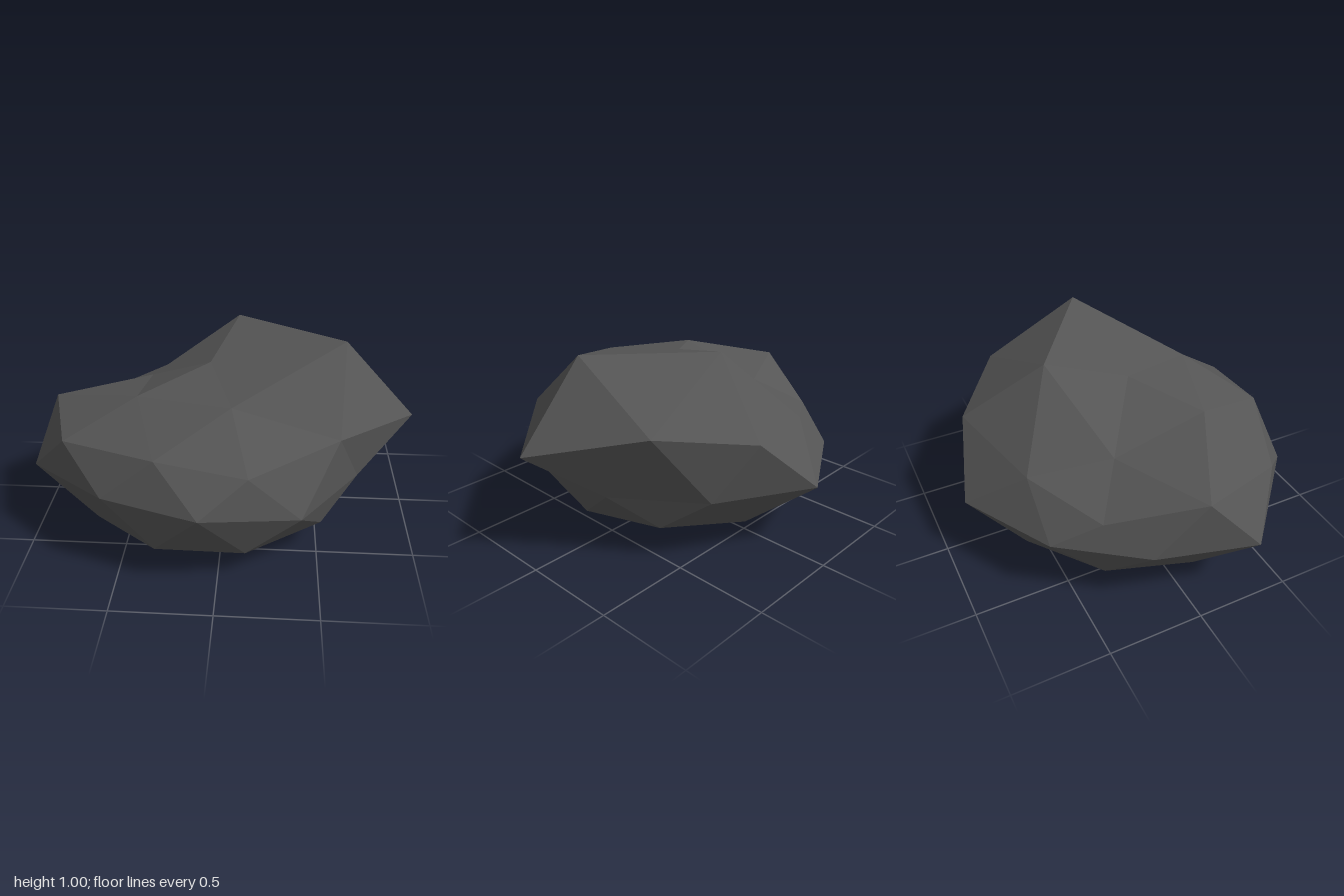
import * as THREE from 'three';

// Ring of points around the boulder's axis; bumps replace single points of the regular ring
function ring(count, startDeg, radius, y, bumps = {}) {
  const points = [];
  for (let i = 0; i < count; i++) {
    const a = THREE.MathUtils.degToRad(startDeg + (360 / count) * i);
    points.push(bumps[i] ?? [-0.08 + radius * Math.cos(a), y, 0.055 + radius * Math.sin(a)]);
  }
  return points;
}

function boulderGeometry() {
  // Levels of a once-subdivided icosahedron, top to bottom
  const peak = [-0.08, 0.866, 0.055];
  const crown = ring(5, 0, 0.431, 0.785, {
    0: [0.62, 1.0, 0.055],       // summit
    1: [0.053, 0.815, 0.465],
    3: [-0.43, 0.663, -0.198],   // hollow
    4: [0.053, 0.975, -0.355],
  });
  const shoulder = ring(5, 0, 0.733, 0.6, {
    0: [0.995, 0.59, 0.055],     // side spur
    2: [-0.78, 0.62, 0.495],
    3: [-0.673, 0.5, -0.376],
    4: [0.24, 0.66, -0.76],
  });
  const shoulderMid = ring(5, 36, 0.698, 0.66, {
    0: [0.585, 0.655, 0.465],
    2: [-0.915, 0.648, 0.055],
    3: [-0.296, 0.59, -0.609],
    4: [0.65, 0.728, -0.46],
  });
  const waist = ring(10, 18, 0.82, 0.36, {
    2: [-0.08, 0.442, 0.877],
    3: [-0.562, 0.442, 0.718],
    4: [-1.0, 0.36, 0.31],
    7: [-0.08, 0.36, -0.882],
  });
  const lower = ring(5, 36, 0.733, 0.18);
  const lowerMid = ring(5, 0, 0.698, 0.148);
  const base = ring(5, 36, 0.431, 0);
  const bottom = [-0.08, 0, 0.055];

  const positions = [];
  const tri = (a, b, c) => positions.push(...a, ...c, ...b);

  for (let i = 0; i < 5; i++) {
    const n = (i + 1) % 5, p = (i + 4) % 5;
    const w0 = waist[(2 * i + 9) % 10], w1 = waist[2 * i], w2 = waist[2 * i + 1];
    const m = shoulderMid[i], k = lowerMid[i];
    // cap
    tri(peak, crown[i], crown[n]);
    tri(crown[i], shoulder[i], m);
    tri(crown[i], m, crown[n]);
    tri(crown[n], m, shoulder[n]);
    // belt
    tri(shoulder[i], w1, m);
    tri(m, w1, w2);
    tri(m, w2, shoulder[n]);
    tri(w1, lower[i], w2);
    tri(shoulder[i], w0, w1);
    tri(w0, lower[p], k);
    tri(w0, k, w1);
    tri(w1, k, lower[i]);
    // underside with flat base
    tri(lower[p], base[p], k);
    tri(k, base[p], base[i]);
    tri(k, base[i], lower[i]);
    tri(base[p], bottom, base[i]);
  }

  const geometry = new THREE.BufferGeometry();
  geometry.setAttribute('position', new THREE.Float32BufferAttribute(positions, 3));
  geometry.computeVertexNormals();
  return geometry;
}

export function createModel() {
  const group = new THREE.Group();
  group.name = 'rock';
  const stone = new THREE.MeshStandardMaterial({ color: 0x555555, flatShading: true });
  stone.name = 'darkGreyStone';
  const boulder = new THREE.Mesh(boulderGeometry(), stone);
  boulder.name = 'boulder';
  group.add(boulder);
  return group;
}
